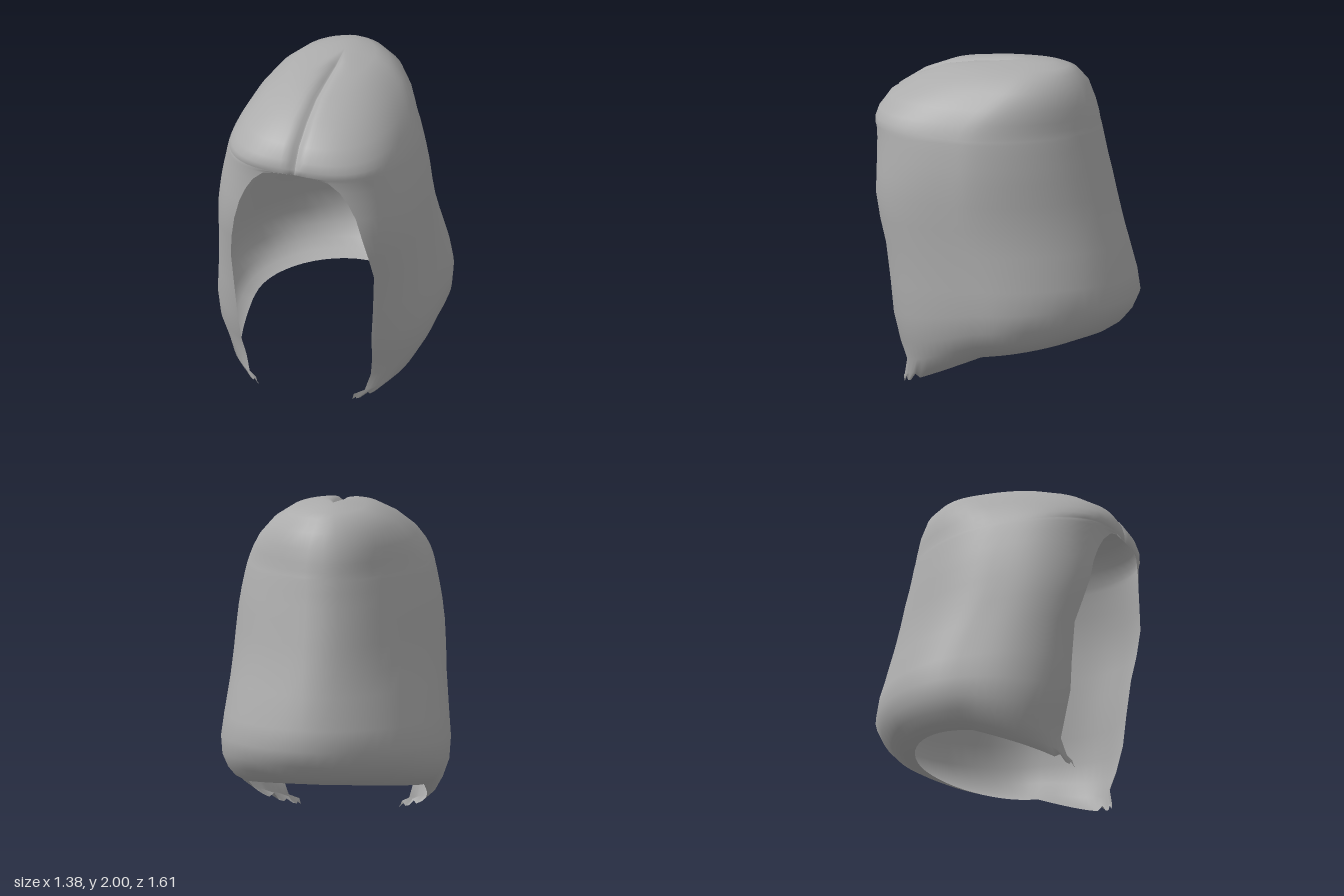
import * as THREE from 'three';

// Horizontal sections from crown to hem:
// height, half width, front z (at the opening edge), back z, opening half width
const SECTIONS = [
  [1.996, 0.09, 0.03, -0.28, 0],
  [1.975, 0.19, 0.22, -0.37, 0],
  [1.945, 0.28, 0.40, -0.42, 0],
  [1.87, 0.385, 0.58, -0.49, 0],
  [1.77, 0.47, 0.73, -0.535, 0],
  [1.69, 0.515, 0.785, -0.56, 0],
  [1.64, 0.537, 0.80, -0.57, 0],
  [1.605, 0.55, 0.798, -0.58, 0],
  [1.595, 0.553, 0.79, -0.582, 0.14],
  [1.575, 0.56, 0.776, -0.586, 0.21],
  [1.51, 0.575, 0.757, -0.60, 0.28],
  [1.43, 0.592, 0.742, -0.617, 0.33],
  [1.33, 0.61, 0.73, -0.643, 0.375],
  [1.20, 0.625, 0.722, -0.673, 0.41],
  [1.05, 0.636, 0.685, -0.708, 0.44],
  [0.90, 0.647, 0.64, -0.745, 0.46],
  [0.70, 0.672, 0.615, -0.79, 0.445],
  [0.57, 0.688, 0.60, -0.806, 0.43],
  [0.47, 0.68, 0.56, -0.76, 0.42],
  [0.40, 0.645, 0.525, -0.70, 0.40],
  [0.355, 0.60, 0.55, -0.63, 0.37],
  [0.33, 0.54, 0.58, -0.55, 0.30],
];
const COLS = 60;
const { clamp, smoothstep, lerp } = THREE.MathUtils;

// Columns crowd towards both ends, where the parting lies
function spread(t) {
  return t < 0.5 ? 0.5 * (2 * t) ** 1.6 : 1 - 0.5 * (2 - 2 * t) ** 1.6;
}

function sectionPoint([y, width, edgeZ, backZ, open], t, isHem, col) {
  // Square forehead, back tapering behind the ears, oval crown
  const crown = smoothstep(y, 1.6, 2), upper = smoothstep(y, 0.55, 1.2);
  const frontPower = 3.1 - 0.7 * crown;
  const backPower = lerp(1.88, 1.68, upper) + 0.27 * crown;
  const centreZ = lerp(-0.08, 0.12, upper) - 0.24 * crown;
  const front = (edgeZ - centreZ) / (1 - (open / width) ** frontPower) ** (1 / frontPower);
  const start = Math.atan2(open, edgeZ - centreZ);
  const angle = start + (2 * Math.PI - 2 * start) * spread(t);
  const s = Math.sin(angle), c = Math.cos(angle);
  const power = c > 0 ? frontPower : backPower;
  const depth = c > 0 ? front : centreZ - backZ;
  const r = ((Math.abs(s) / width) ** power + (Math.abs(c) / depth) ** power) ** (-1 / power);
  const p = new THREE.Vector3(s * r, y, centreZ + c * r);

  // The hem hangs lower towards the front locks
  if (y < 0.9) {
    const drop = p.z < 0
      ? 0.08 * clamp((p.z + 0.54) / 0.54, 0, 1)
      : 0.08 + 0.25 * Math.min(p.z / 0.58, 1);
    p.y -= drop * ((0.9 - y) / 0.57) ** 2;
  }
  // Ragged strand ends at the front tips
  if (isHem && p.z > 0.45 && col % 3 === 1) p.y += 0.035;

  // Parting groove along the middle, from crown to forehead
  if (open === 0 && c > 0) {
    const groove = 0.035 * Math.exp(-((p.x / 0.03) ** 2)) * clamp((p.z + 0.18) / 0.2, 0, 1)
      * clamp((y - 1.55) / 0.15, 0, 1);
    const inward = new THREE.Vector3(0, 1.3, 0).sub(p).normalize();
    p.addScaledVector(inward, groove);
  }
  return p;
}

function hairGeometry() {
  const positions = [], indices = [];
  // Crown point, repeated per column so that the parting stays sharp
  for (let j = 0; j <= COLS; j++) positions.push(0, 2, -0.15);
  SECTIONS.forEach((section, i) => {
    for (let j = 0; j <= COLS; j++) {
      const p = sectionPoint(section, j / COLS, i === SECTIONS.length - 1, j);
      positions.push(p.x, p.y, p.z);
    }
  });
  const stride = COLS + 1;
  for (let i = 0; i < SECTIONS.length; i++) {
    for (let j = 0; j < COLS; j++) {
      const a = i * stride + j, b = a + stride;
      if (i > 0) indices.push(a, b, a + 1);
      indices.push(a + 1, b, b + 1);
    }
  }
  const geometry = new THREE.BufferGeometry();
  geometry.setAttribute('position', new THREE.Float32BufferAttribute(positions, 3));
  geometry.setIndex(indices);
  geometry.computeVertexNormals();
  // The crown is smooth
  for (let j = 0; j <= COLS; j++) geometry.attributes.normal.setXYZ(j, 0, 1, 0);
  return geometry;
}

export function createModel() {
  const grey = new THREE.MeshStandardMaterial({ color: 0xacacac, side: THREE.DoubleSide });
  grey.name = 'hair grey';
  const hair = new THREE.Mesh(hairGeometry(), grey);
  hair.name = 'hair';
  const model = new THREE.Group();
  model.name = 'bobHair';
  model.add(hair);
  return model;
}
